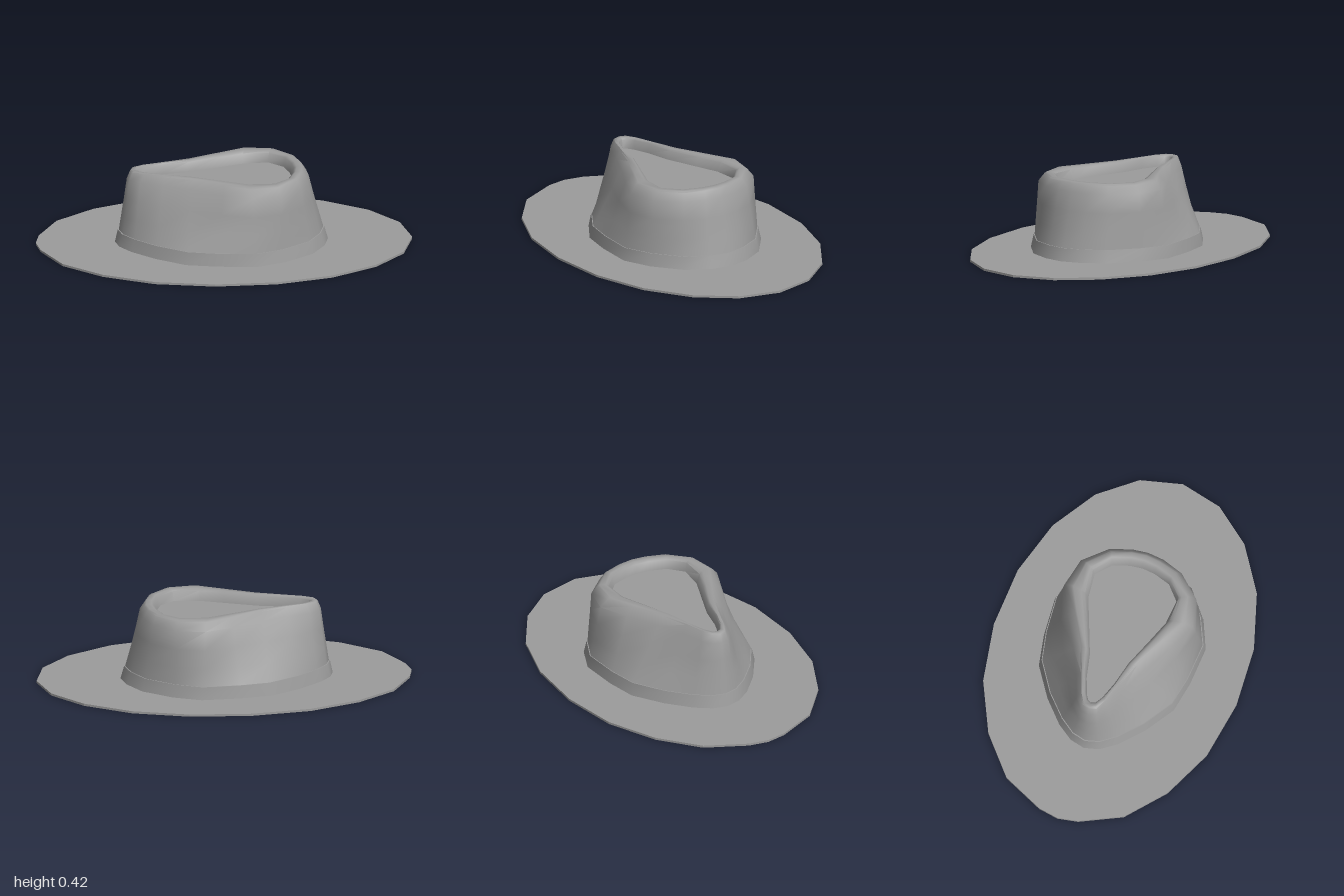
import * as THREE from 'three';
import { toCreasedNormals } from 'three/addons/utils/BufferGeometryUtils.js';

const material = new THREE.MeshStandardMaterial({ color: 0x9c9c9c, side: THREE.DoubleSide });

// Half outlines [x, z] from the pinched end (-x) round to the wide end (+x)
const BRIM = [[-1, 0], [-0.98, 0.11], [-0.875, 0.33], [-0.67, 0.505], [-0.4, 0.63], [-0.08, 0.683],
  [0.25, 0.665], [0.55, 0.575], [0.79, 0.42], [0.945, 0.225], [1, 0]];
const BASE = [[-0.58, 0], [-0.56, 0.08], [-0.5, 0.165], [-0.38, 0.275], [-0.22, 0.38], [-0.05, 0.412],
  [0.16, 0.425], [0.31, 0.36], [0.46, 0.24], [0.53, 0.11], [0.553, 0]];
const BAND_TOP = [[-0.565, 0], [-0.545, 0.075], [-0.485, 0.157], [-0.37, 0.265], [-0.21, 0.368], [-0.05, 0.4],
  [0.155, 0.414], [0.3, 0.348], [0.445, 0.232], [0.51, 0.105], [0.533, 0]];
const SHOULDER = [[-0.517, 0], [-0.505, 0.045], [-0.45, 0.088], [-0.33, 0.13], [-0.19, 0.195], [-0.02, 0.29],
  [0.135, 0.36], [0.29, 0.325], [0.4, 0.205], [0.44, 0.09], [0.45, 0]];
const CREST = [[-0.5, 0], [-0.488, 0.038], [-0.43, 0.072], [-0.32, 0.108], [-0.18, 0.16], [-0.01, 0.25],
  [0.125, 0.322], [0.275, 0.295], [0.38, 0.185], [0.415, 0.08], [0.425, 0]];
const PIT = [[-0.455, 0], [-0.445, 0.02], [-0.41, 0.042], [-0.32, 0.075], [-0.19, 0.103], [-0.02, 0.168],
  [0.11, 0.218], [0.245, 0.23], [0.323, 0.16], [0.352, 0.07], [0.36, 0]];

// Mirror a half outline into a closed one
const closed = (half) => [
  ...half.map(([x, z]) => [x, -z]),
  ...half.slice(1, -1).reverse(),
];
const mix = (a, b, t) => a.map(([x, z], i) => [x + (b[i][0] - x) * t, z + (b[i][1] - z) * t]);
const scaled = (a, s) => a.map(([x, z]) => [x * s, z * s]);
const toPoints = (half) => closed(half).map(([x, z]) => new THREE.Vector2(x, z));

// Skin a stack of [height, half outline] rings
function loft(rings, crease) {
  const n = closed(rings[0][1]).length;
  const positions = rings.flatMap(([y, half]) => closed(half).flatMap(([x, z]) => [x, y, z]));
  const index = [];
  for (let r = 0; r < rings.length - 1; r++) {
    for (let i = 0; i < n; i++) {
      const a = r * n + i, b = r * n + (i + 1) % n;
      index.push(a, a + n, b, b, a + n, b + n);
    }
  }
  const geometry = new THREE.BufferGeometry();
  geometry.setAttribute('position', new THREE.Float32BufferAttribute(positions, 3));
  geometry.setIndex(index);
  return toCreasedNormals(geometry, crease);
}

export function createModel() {
  const hat = new THREE.Group();
  hat.name = 'hat';
  const add = (name, geometry) => {
    const mesh = new THREE.Mesh(geometry, material);
    mesh.name = name;
    hat.add(mesh);
  };

  // Flat faceted brim, open under the crown
  const brimShape = new THREE.Shape(toPoints(BRIM));
  brimShape.holes.push(new THREE.Path(toPoints(BASE)));
  add('brim', new THREE.ExtrudeGeometry(brimShape, { depth: 0.012, bevelEnabled: false }).rotateX(-Math.PI / 2));

  // Hollow crown: tapering wall, pinched crest and steep-sided dent
  const foot = scaled(BAND_TOP, 0.99);
  add('crown', loft([
    [0.08, foot],
    [0.17, mix(foot, SHOULDER, 0.32)],
    [0.27, mix(foot, SHOULDER, 0.68)],
    [0.37, SHOULDER],
    [0.412, CREST],
    [0.419, mix(CREST, PIT, 0.15)],
    [0.419, mix(CREST, PIT, 0.6)],
    [0.41, mix(CREST, PIT, 0.82)],
    [0.36, PIT],
  ], 0.9));

  // Floor of the dent in the top
  add('crownTop', new THREE.ShapeGeometry(new THREE.Shape(toPoints(PIT)))
    .rotateX(-Math.PI / 2).translate(0, 0.36, 0));

  // Band around the foot of the crown, with a narrow lip on top
  add('band', loft([[0.01, BASE], [0.08, BAND_TOP], [0.08, foot]], 0.7));

  return hat;
}
